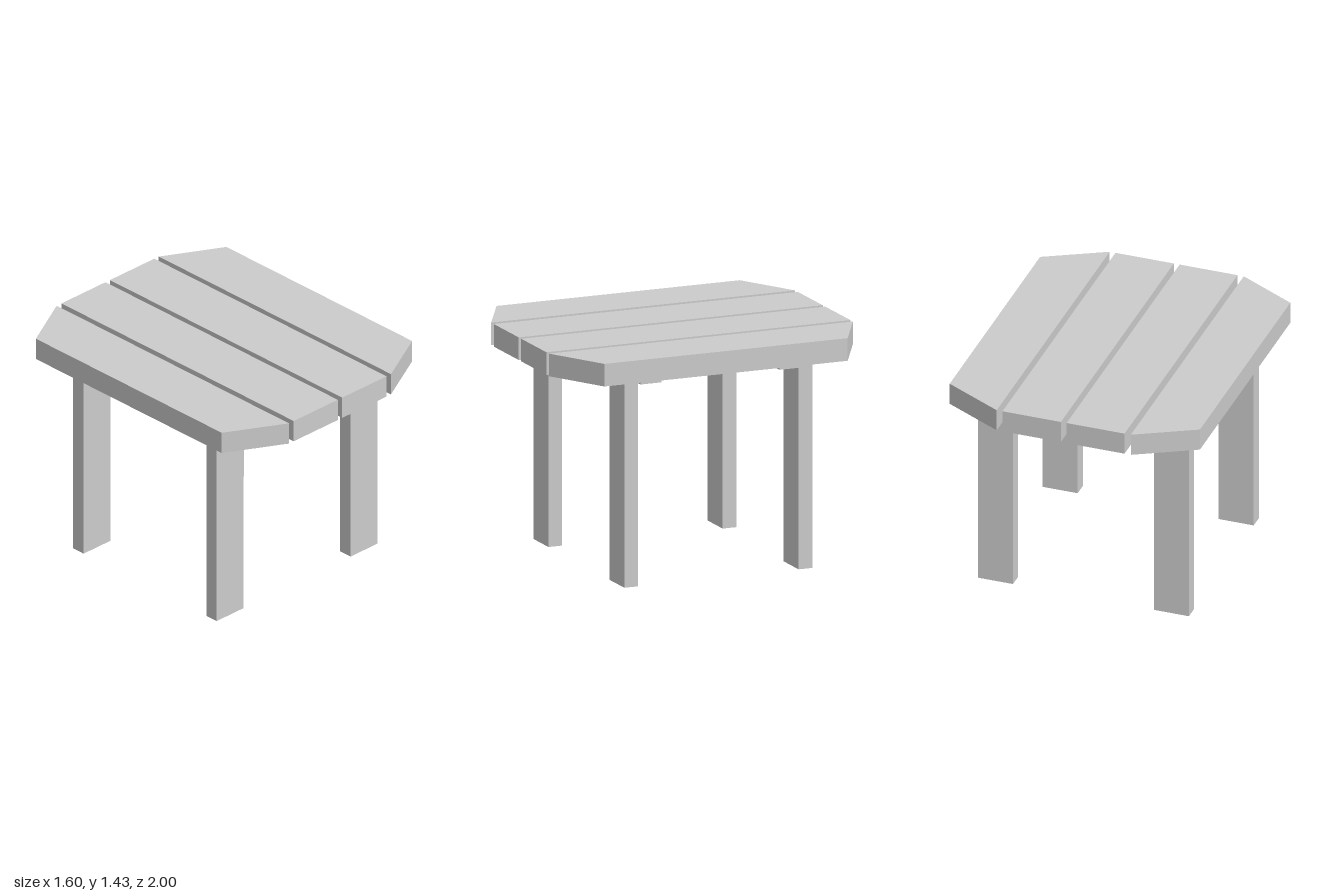
import * as THREE from 'three';

const material = new THREE.MeshStandardMaterial({ color: 0xcccccc, flatShading: true });
const SEAT_BOTTOM = 1.29, SEAT_TOP = 1.43;

export function createModel() {
  const model = new THREE.Group();
  model.name = 'slattedTable';

  const add = (name, geometry, x, y, z) => {
    const mesh = new THREE.Mesh(geometry, material);
    mesh.name = name;
    mesh.position.set(x, y, z);
    model.add(mesh);
  };

  // Top slats: end half-lengths at the -x and +x edges; outer slats have cut corners
  const slats = [
    ['rightOuterSlat', -0.80, -0.43, 0.80, 1],
    ['rightInnerSlat', -0.39, -0.02, 1, 1],
    ['leftInnerSlat', 0.017, 0.39, 1, 1],
    ['leftOuterSlat', 0.427, 0.80, 1, 0.80],
  ];
  for (const [name, x0, x1, h0, h1] of slats) {
    const outline = new THREE.Shape([
      new THREE.Vector2(x0, -h0), new THREE.Vector2(x1, -h1),
      new THREE.Vector2(x1, h1), new THREE.Vector2(x0, h0),
    ]);
    const geometry = new THREE.ExtrudeGeometry(outline, {
      depth: SEAT_TOP - SEAT_BOTTOM, bevelEnabled: false,
    });
    geometry.rotateX(-Math.PI / 2);
    add(name, geometry, 0, SEAT_BOTTOM, 0);
  }

  // Each end: a thin batten under the slats with two flat legs against its outer side
  for (const [end, s] of [['front', 1], ['back', -1]]) {
    add(`${end}Batten`, new THREE.BoxGeometry(1.425, 0.033, 0.14), 0.007, SEAT_BOTTOM - 0.0165, s * 0.458);
    for (const [side, x] of [['Right', -0.552], ['Left', 0.573]]) {
      add(`${end}${side}Leg`, new THREE.BoxGeometry(0.224, SEAT_BOTTOM, 0.09), x, SEAT_BOTTOM / 2, s * 0.573);
    }
  }
  return model;
}
